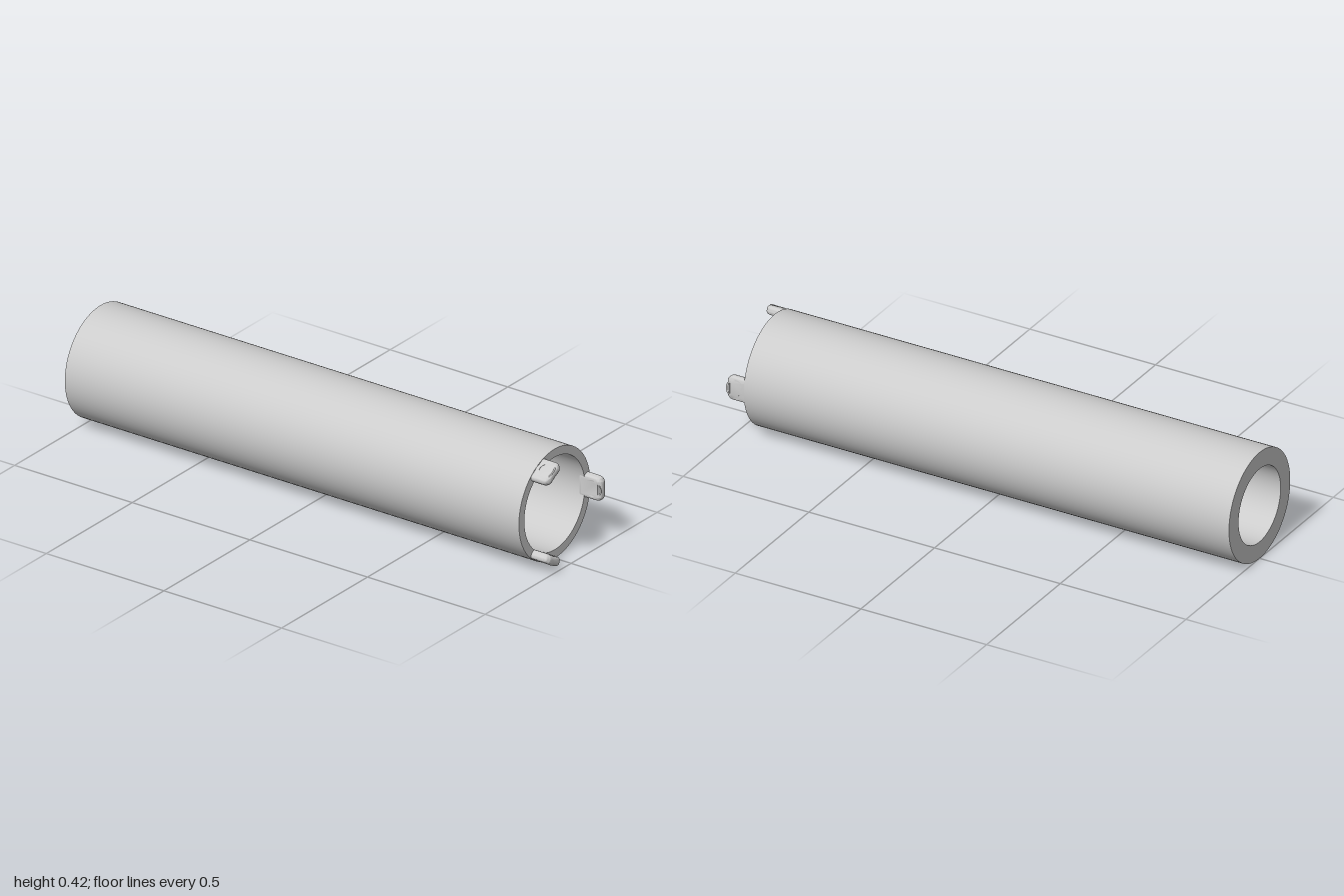
import * as THREE from 'three';
import { toCreasedNormals } from 'three/addons/utils/BufferGeometryUtils.js';

const R = 0.208;          // outer radius of the tube
const FRONT = 0.93;       // front rim of the tube
const BACK = -1;
const STEP = 0;           // where the bore narrows
const BORE_FRONT = 0.176, BORE_BACK = 0.143;

const material = new THREE.MeshStandardMaterial({ color: 0xcccccc });

// Hollow tube with a stepped bore, turned around z
function tubeGeometry() {
  const profile = [
    [BORE_BACK, BACK], [R, BACK], [R, FRONT], [BORE_FRONT, FRONT],
    [BORE_FRONT, STEP], [BORE_BACK, STEP], [BORE_BACK, BACK],
  ].map(([r, h]) => new THREE.Vector2(r, h));
  const g = new THREE.LatheGeometry(profile, 72);
  g.rotateX(Math.PI / 2);
  return toCreasedNormals(g, Math.PI / 5);
}

// Rounded lug with a radial pin hole, bent to follow the tube wall
function lugGeometry() {
  const half = 0.046, base = 0.905, tip = 1, corner = 0.022;
  const rIn = 0.174, rOut = 0.207, bevel = 0.013;
  const holeZ = 0.966, holeR = 0.023;

  const shape = new THREE.Shape();
  shape.moveTo(-half, base);
  shape.lineTo(half, base);
  shape.lineTo(half, tip - corner);
  shape.absarc(half - corner, tip - corner, corner, 0, Math.PI / 2);
  shape.lineTo(0, tip);
  shape.absarc(-half + corner, tip - corner, corner, Math.PI / 2, Math.PI);
  shape.lineTo(-half, base);
  const hole = new THREE.Path();
  hole.absarc(0, holeZ, holeR, 0, Math.PI * 2, true);
  shape.holes.push(hole);

  const g = new THREE.ExtrudeGeometry(shape, {
    depth: rOut - rIn - 2 * bevel, bevelThickness: bevel, bevelSize: bevel,
    bevelOffset: -bevel, bevelSegments: 5, curveSegments: 12,
  });
  const p = g.attributes.position;
  const rMid = (rIn + rOut) / 2;
  for (let i = 0; i < p.count; i++) {
    let u = p.getX(i), v = p.getY(i);
    const r = rIn + bevel + p.getZ(i);
    // keep the pin hole straight
    const d = Math.hypot(u, v - holeZ);
    if (Math.abs(d - holeR) < 1e-4 || (d < holeR + bevel + 1e-4 && v < tip - bevel - 1e-3 && Math.abs(u) < half - bevel)) {
      u *= holeR / d;
      v = holeZ + (v - holeZ) * holeR / d;
    }
    const a = u / rMid;
    p.setXYZ(i, r * Math.cos(a), r * Math.sin(a), v);
  }
  g.deleteAttribute('uv');
  return toCreasedNormals(g, Math.PI / 5);
}

export function createModel() {
  const model = new THREE.Group();
  model.name = 'tubeWithLugs';

  const tube = new THREE.Mesh(tubeGeometry(), material);
  tube.name = 'tube';
  tube.position.y = R;
  model.add(tube);

  // Three lugs evenly spaced on the front rim
  const lug = lugGeometry();
  for (let i = 0; i < 3; i++) {
    const mesh = new THREE.Mesh(lug, material);
    mesh.name = `lug${i + 1}`;
    mesh.position.y = R;
    mesh.rotation.z = i * Math.PI * 2 / 3;
    model.add(mesh);
  }
  return model;
}
